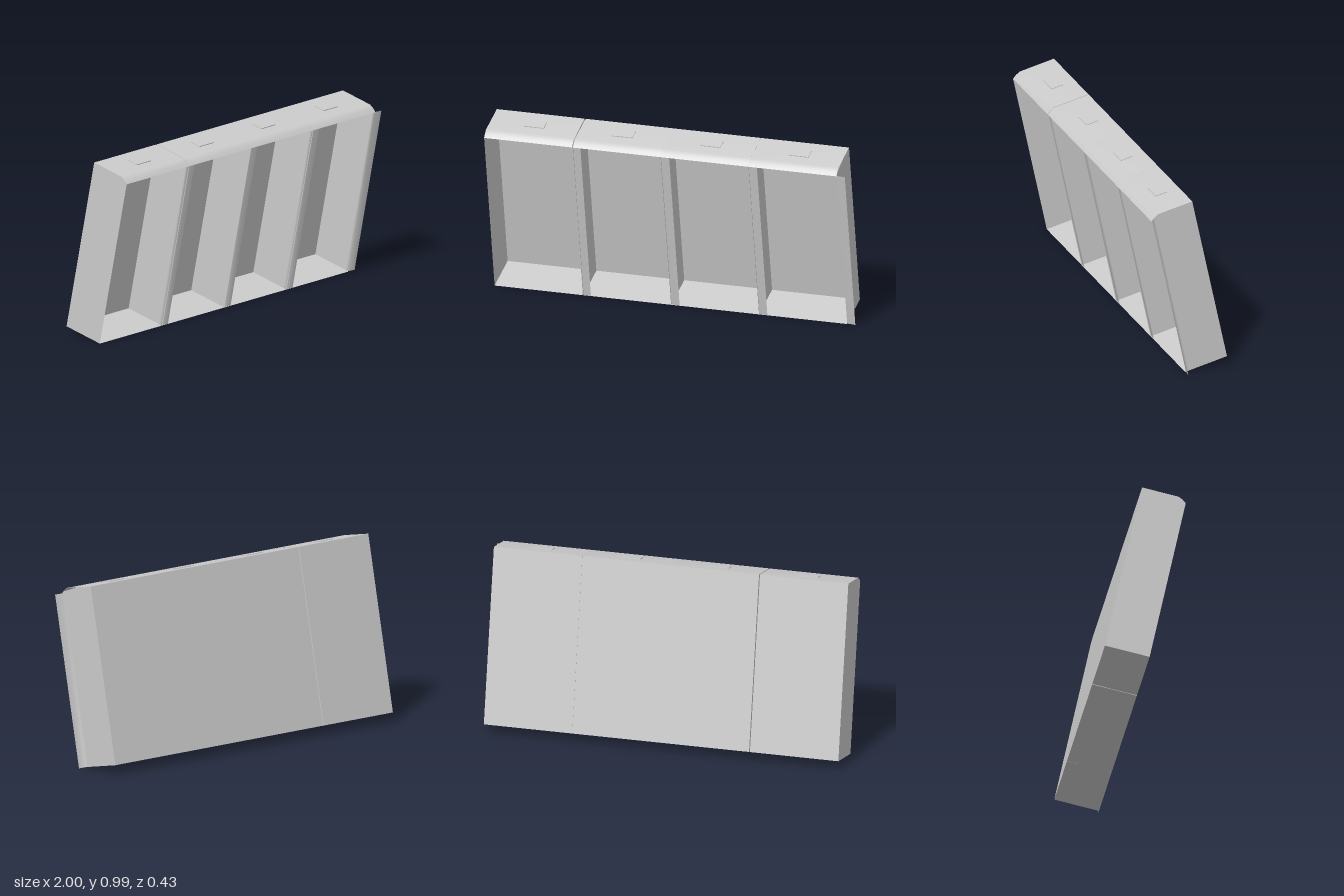
import * as THREE from 'three';

const W = 0.487, H = 0.96, D = 0.245, LIP = 0.047, FRONT_H = 0.933;
const material = new THREE.MeshStandardMaterial({ color: 0xcccccc, side: THREE.DoubleSide });

// Thin sheet spanned between two matching polylines, smooth along its length
function sheet(name, a, b) {
  const index = [];
  for (let i = 0; i < a.length - 1; i++) {
    const p = 2 * i;
    index.push(p, p + 2, p + 1, p + 1, p + 2, p + 3);
  }
  const geometry = new THREE.BufferGeometry();
  geometry.setAttribute('position', new THREE.Float32BufferAttribute(a.flatMap((p, i) => [...p, ...b[i]]), 3));
  geometry.setIndex(index);
  geometry.computeVertexNormals();
  const mesh = new THREE.Mesh(geometry, material);
  mesh.name = name;
  return mesh;
}

// One open-fronted bay; x runs from 0 to W, z from the back (0) to the front (D)
function createBay() {
  const bay = new THREE.Group();
  bay.name = 'bay';

  bay.add(sheet('backPanel', [[0, 0, 0], [W, 0, 0]], [[0, H, 0], [W, H, 0]]));
  bay.add(sheet('floor', [[0, 0, D], [W, 0, D]], [[0, 0, 0], [W, 0, 0]]));

  // Top sheet with a sloping front edge
  const profile = [[H, 0], [H, 0.2], [0.948, 0.226], [FRONT_H, D]];
  bay.add(sheet('topPanel', profile.map(([y, z]) => [0, y, z]), profile.map(([y, z]) => [W, y, z])));

  // Plain end wall
  bay.add(sheet('endWall', profile.map(([, z]) => [0, 0, z]), profile.map(([y, z]) => [0, y, z])));

  // Opposite wall, turned outwards at the front into a lip
  const wall = [[W, H, 0], [W, H, 0.108], [W, 0.943, 0.225], [W, FRONT_H, D - 0.005], [W + LIP, FRONT_H, D]];
  bay.add(sheet('lippedWall', wall.map(([x, , z]) => [x, 0, z]), wall));

  // Small raised pad on top
  const pad = new THREE.Mesh(new THREE.BoxGeometry(0.113, 0.006, 0.066), material);
  pad.name = 'topPad';
  pad.position.set(0.244, H + 0.001, 0.104);
  bay.add(pad);
  return bay;
}

export function createModel() {
  const model = new THREE.Group();
  model.name = 'bayRow';

  // Row of four bays leaning forward
  const row = new THREE.Group();
  row.name = 'leaningRow';
  row.rotation.x = 0.2088;
  row.position.set(0, 0.051, -0.215);
  for (const x of [-1, -0.508, -0.0215, 0.466]) {
    const bay = createBay();
    bay.position.x = x;
    row.add(bay);
  }
  model.add(row);
  return model;
}
